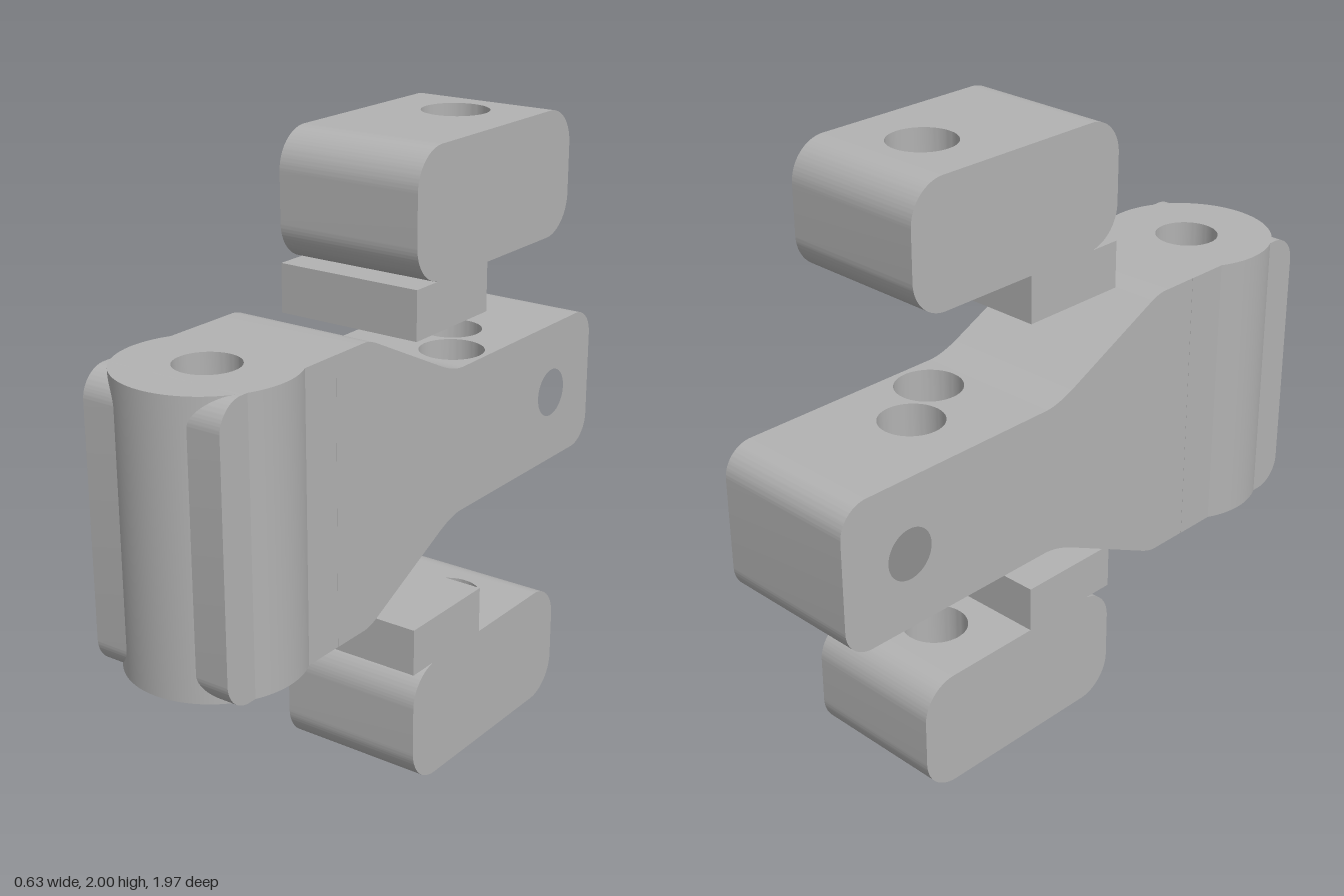
import * as THREE from 'three';
import { toCreasedNormals } from 'three/addons/utils/BufferGeometryUtils.js';

const grey = new THREE.MeshStandardMaterial({ color: 0xb2b2b2 });
grey.name = 'machined grey';

// Extrude a (z, y) outline across x, from x0 to x1
function sideExtrude(name, shape, x0, x1) {
  const geo = new THREE.ExtrudeGeometry(shape, { depth: x1 - x0, bevelEnabled: false, curveSegments: 24 });
  geo.rotateY(-Math.PI / 2).translate(x1, 0, 0);
  return finish(name, geo);
}

// Extrude an (x, z) outline upward, from y0 to y1
function planExtrude(name, shape, y0, y1) {
  const geo = new THREE.ExtrudeGeometry(shape, { depth: y1 - y0, bevelEnabled: false, curveSegments: 40 });
  geo.rotateX(Math.PI / 2).translate(0, y1, 0);
  return finish(name, geo);
}

function finish(name, geo) {
  const mesh = new THREE.Mesh(toCreasedNormals(geo, 0.4), grey);
  mesh.name = name;
  return mesh;
}

function addHole(shape, a, b, r) {
  const hole = new THREE.Path();
  hole.absarc(a, b, r, 0, Math.PI * 2, true);
  shape.holes.push(hole);
}

function rect(a0, a1, b0, b1) {
  return new THREE.Shape([[a0, b0], [a1, b0], [a1, b1], [a0, b1]].map(p => new THREE.Vector2(...p)));
}

// Slab from flat end zFlat to zEnd, with both corners at zEnd rounded
function roundedEnd(zFlat, zEnd, y0, y1, r) {
  const s = new THREE.Shape();
  const d = Math.sign(zEnd - zFlat), c = zEnd - d * r;
  s.moveTo(zFlat, y0);
  s.lineTo(c, y0);
  s.absarc(c, y0 + r, r, -Math.PI / 2, 0 + (d < 0 ? -Math.PI : 0), d < 0);
  s.lineTo(zEnd, y1 - r);
  s.absarc(c, y1 - r, r, d < 0 ? Math.PI : 0, Math.PI / 2, d < 0);
  s.lineTo(zFlat, y1);
  s.closePath();
  return s;
}

function createArm() {
  const arm = new THREE.Group();
  arm.name = 'pivotArm';
  const X0 = -0.29, X1 = 0.195, XC = -0.048;
  const mid = 1.0, tall = 0.453, low = 0.24;

  // Rear end with the cross pin hole
  const rear = roundedEnd(-0.63, -0.985, mid - low, mid + low, 0.095);
  addHole(rear, -0.74, mid, 0.081);
  arm.add(sideExtrude('armRearEnd', rear, X0, X1));

  // Middle with two upright holes
  const middle = rect(X0, X1, -0.63, -0.2);
  addHole(middle, 0.072, -0.32, 0.105);
  addHole(middle, -0.05, -0.503, 0.1);
  arm.add(planExtrude('armMiddle', middle, mid - low, mid + low));

  // Taper with softened bends
  const taper = new THREE.Shape();
  taper.moveTo(-0.2, mid - low);
  taper.quadraticCurveTo(-0.15, mid - low, -0.08, mid - low - 0.033);
  taper.lineTo(0.25, mid - tall + 0.02);
  taper.quadraticCurveTo(0.29, mid - tall, 0.32, mid - tall);
  taper.lineTo(0.45, mid - tall);
  taper.lineTo(0.45, mid + tall);
  taper.lineTo(0.32, mid + tall);
  taper.quadraticCurveTo(0.29, mid + tall, 0.25, mid + tall - 0.02);
  taper.lineTo(-0.08, mid + low + 0.033);
  taper.quadraticCurveTo(-0.15, mid + low, -0.2, mid + low);
  arm.add(sideExtrude('armTaper', taper, X0, X1));

  // Round pivot boss flowing out of the arm walls
  const R = 0.272, ZC = 0.713;
  const half = (X1 - X0) / 2;
  const a = Math.acos(half / R);
  const boss = new THREE.Shape();
  boss.moveTo(XC - half, 0.45);
  boss.lineTo(XC + half, 0.45);
  boss.absarc(XC, ZC, R, -a, Math.PI + a, false);
  boss.closePath();
  addHole(boss, XC, ZC, 0.1);
  arm.add(planExtrude('pivotBoss', boss, mid - tall, mid + tall));

  // Squared front corners standing beside the boss
  const front = roundedEnd(0.822, 0.952, mid - tall, mid + tall, 0.09);
  arm.add(sideExtrude('armFrontCorners', front, X0, X1));
  return arm;
}

// Clamp block, modelled as the upper one around its own centre in x and y = 0 at mid height
function createBlock(name) {
  const block = new THREE.Group();
  block.name = name;
  const w = 0.242, bottom = 0.607, top = 1, r = 0.12, zf = 0.23;

  // Front part with the stepped tab and the notch above it
  const front = new THREE.Shape();
  front.moveTo(-0.17, bottom);
  front.lineTo(-0.135, bottom);
  front.lineTo(-0.135, 0.455);
  front.lineTo(zf, 0.455);
  front.lineTo(zf, bottom);
  front.lineTo(zf - r + 0.02, bottom);
  front.absarc(zf - r, bottom + r, r, -Math.PI / 2 + 0.17, 0, false);
  front.lineTo(zf, top - r);
  front.absarc(zf - r, top - r, r, 0, Math.PI / 2, false);
  front.lineTo(-0.17, top);
  front.closePath();
  block.add(sideExtrude('blockFrontAndTab', front, -w, w));

  // Middle with the bolt hole
  const middle = rect(-w, w, -0.47, -0.17);
  addHole(middle, 0, -0.32, 0.105);
  block.add(planExtrude('blockMiddle', middle, bottom, top));

  // Rounded back
  block.add(sideExtrude('blockBack', roundedEnd(-0.47, -0.592, bottom, top, r), -w, w));
  block.position.set(0.072, 1, 0);
  return block;
}

export function createModel() {
  const model = new THREE.Group();
  model.name = 'pivotArmWithClampBlocks';
  const lower = createBlock('lowerBlock');
  lower.rotation.z = Math.PI;
  model.add(createArm(), createBlock('upperBlock'), lower);
  return model;
}
